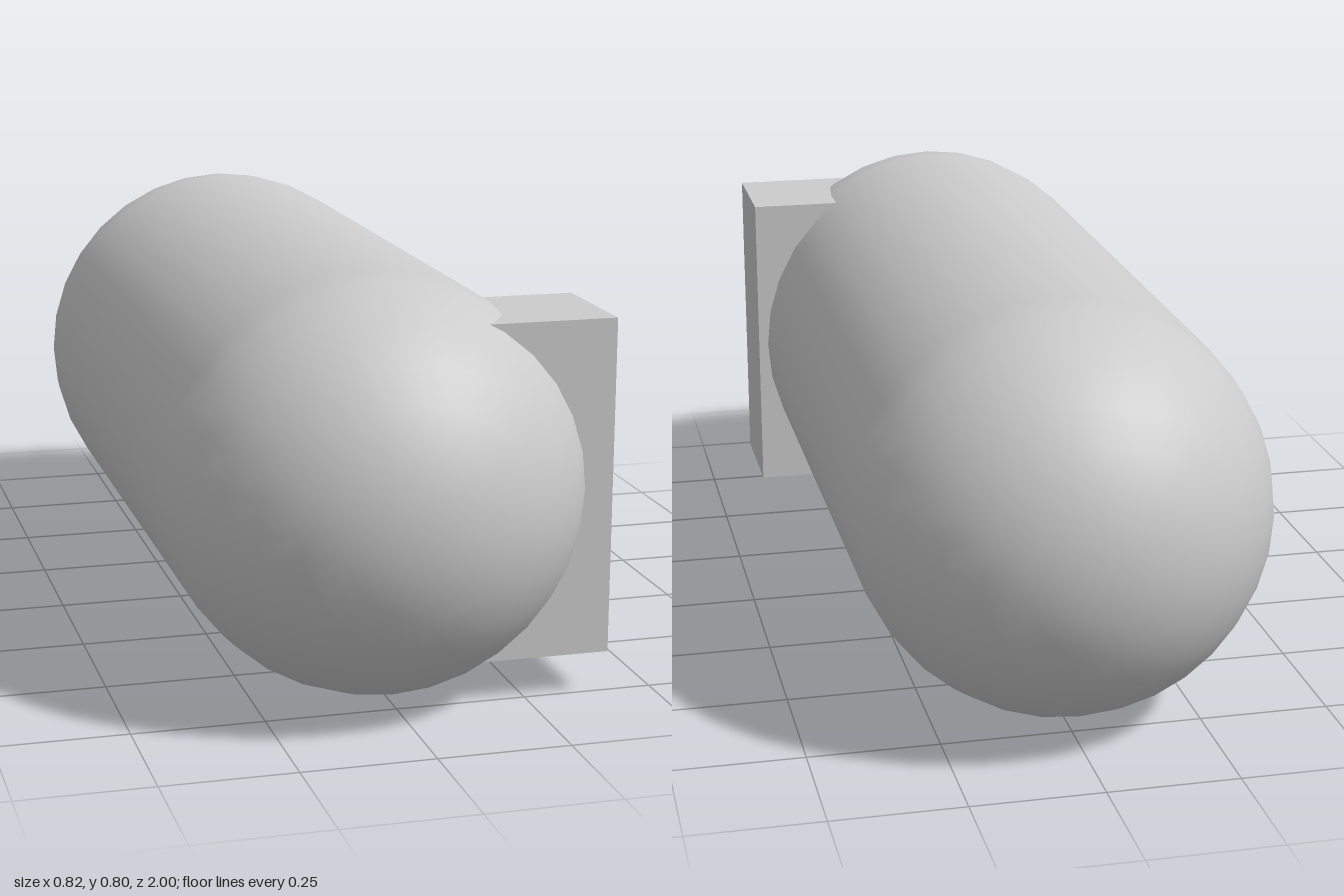
import * as THREE from 'three';

export function createModel() {
  const group = new THREE.Group();
  const material = new THREE.MeshStandardMaterial({ color: 0xcccccc });

  const add = (name, geometry, x, y, z) => {
    const mesh = new THREE.Mesh(geometry, material);
    mesh.name = name;
    mesh.position.set(x, y, z);
    group.add(mesh);
    return mesh;
  };

  // Smooth capsule lying along z
  const radius = 0.4;
  const capsule = new THREE.CapsuleGeometry(radius, 2 - 2 * radius, 8, 32);
  capsule.rotateX(Math.PI / 2);
  add('capsuleBody', capsule, -0.01, radius, 0);

  // Upright block set into the side near the front end
  add('sideBlock', new THREE.BoxGeometry(0.3, 0.64, 0.24), 0.26, 0.4, 0.64);

  return group;
}
